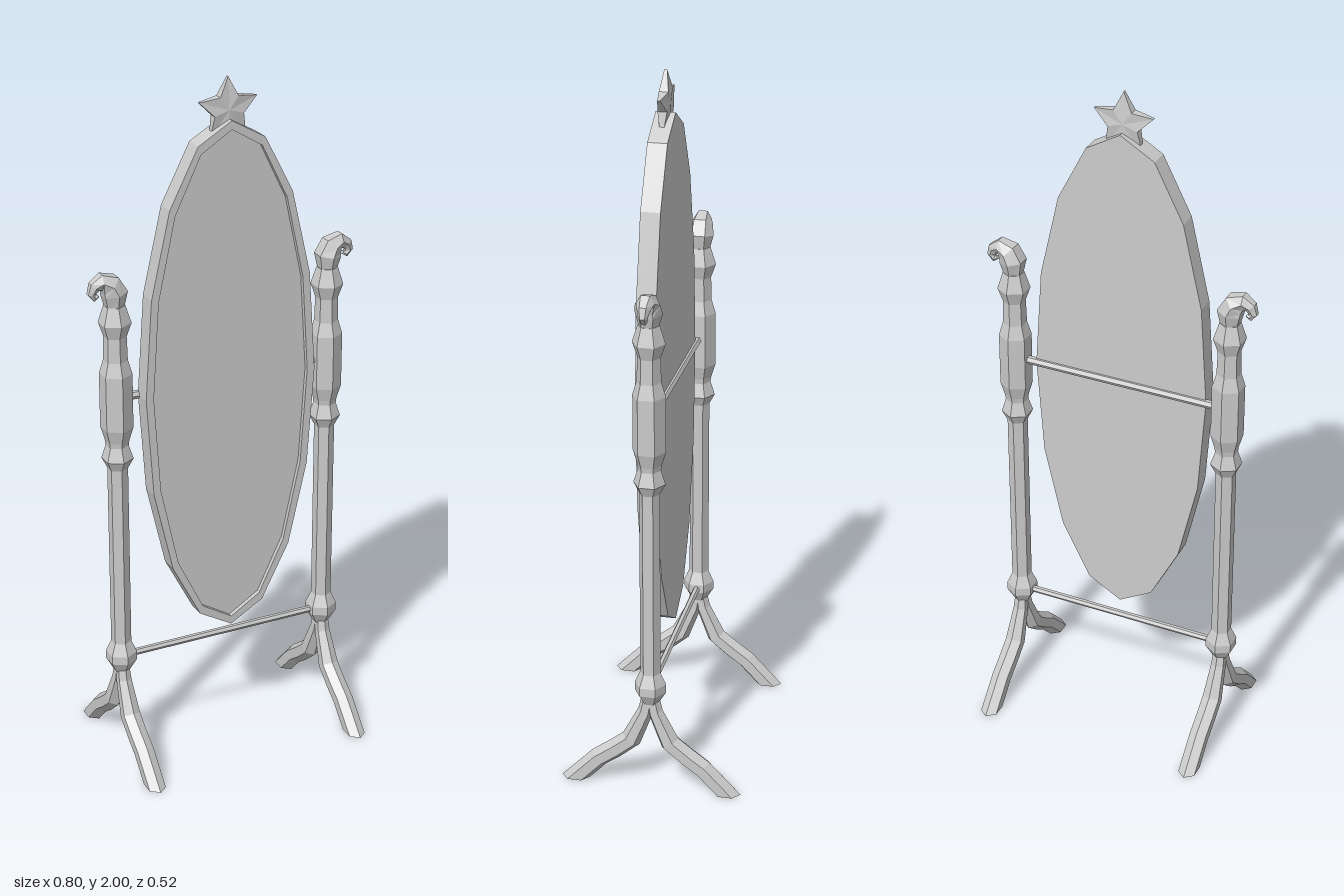
import * as THREE from 'three';

const material = new THREE.MeshStandardMaterial({ color: 0xcccccc, flatShading: true });
const POST_X = 0.325, MIRROR_Y = 1.125;

function addMesh(parent, name, geometry) {
  const mesh = new THREE.Mesh(geometry, material);
  mesh.name = name;
  parent.add(mesh);
  return mesh;
}

function indexed(positions, index) {
  const geometry = new THREE.BufferGeometry();
  geometry.setAttribute('position', new THREE.Float32BufferAttribute(positions, 3));
  geometry.setIndex(index);
  geometry.computeVertexNormals();
  return geometry;
}

// Six-sided tapered sweep along a planar path; corner(tangent) gives the direction of the first corner.
function sweep(points, radii, corner, cutAtFloor = false) {
  const N = 6, pos = [], index = [], last = points.length - 1;
  points.forEach((p, i) => {
    const t = points[Math.min(i + 1, last)].clone().sub(points[Math.max(i - 1, 0)]).normalize();
    const v = corner(t).normalize(), w = t.clone().cross(v);
    for (let j = 0; j < N; j++) {
      const a = (j / N) * Math.PI * 2;
      const q = p.clone().addScaledVector(v, radii[i] * Math.cos(a)).addScaledVector(w, radii[i] * Math.sin(a));
      if (cutAtFloor && i === last) q.addScaledVector(t, -q.y / t.y);
      pos.push(q.x, q.y, q.z);
      if (i < last) {
        const a0 = i * N + j, b0 = i * N + (j + 1) % N;
        index.push(a0, b0, b0 + N, a0, b0 + N, a0 + N);
      }
    }
  });
  // end caps
  for (let j = 1; j < N - 1; j++) {
    index.push(0, j + 1, j, last * N, last * N + j, last * N + j + 1);
  }
  return indexed(pos, index);
}

function ellipsePoints(rx, ry) {
  return Array.from({ length: 16 }, (_, i) => {
    const a = (i / 16) * Math.PI * 2;
    return new THREE.Vector2(rx * Math.cos(a), MIRROR_Y + ry * Math.sin(a));
  });
}

// Five-pointed star, thin at the tips and thicker toward the middle
function starGeometry(radius, inner) {
  const pos = [], index = [], n = 10;
  for (const s of [1, -1]) {
    for (let i = 0; i < n; i++) {
      const a = Math.PI / 2 + (i / n) * Math.PI * 2, tip = i % 2 === 0;
      const r = tip ? radius : inner;
      pos.push(r * Math.cos(a), r * Math.sin(a), s * (tip ? 0.004 : 0.013));
    }
    pos.push(0, 0, s * 0.014);
  }
  for (let i = 0; i < n; i++) {
    const k = (i + 1) % n, b = n + 1;
    index.push(n, i, k, b + n, b + k, b + i);
    index.push(i, b + i, b + k, i, b + k, k);
  }
  return indexed(pos, index);
}

function createStand(side) {
  const stand = new THREE.Group();
  stand.name = side > 0 ? 'leftStand' : 'rightStand';
  stand.position.x = side * POST_X;

  // turned post
  const profile = [
    [0, 0.27], [0.024, 0.27], [0.045, 0.305], [0.045, 0.33], [0.029, 0.365],
    [0.029, 0.915], [0.045, 0.945], [0.032, 0.985], [0.034, 1.0], [0.046, 1.04],
    [0.046, 1.2], [0.034, 1.24], [0.032, 1.31], [0.046, 1.35], [0.03, 1.4], [0, 1.4],
  ].map(([r, y]) => new THREE.Vector2(r, y));
  addMesh(stand, 'post', new THREE.LatheGeometry(profile, 6));

  // scrolled finial curling outward
  const hook = [
    [0, 1.39], [0, 1.435], [0.013, 1.462], [0.038, 1.474], [0.058, 1.462],
    [0.066, 1.443], [0.057, 1.43], [0.047, 1.436],
  ].map(([x, y]) => new THREE.Vector3(side * x, y, 0));
  addMesh(stand, 'finial',
    sweep(hook, [0.026, 0.038, 0.034, 0.025, 0.018, 0.013, 0.01, 0.006], () => new THREE.Vector3(0, 0, 1)));

  // splayed front and back legs
  for (const dir of [1, -1]) {
    const path = [[0.005, 0.29], [0.014, 0.24], [0.056, 0.145], [0.105, 0.105], [0.15, 0.073], [0.22, 0]]
      .map(([z, y]) => new THREE.Vector3(0, y, dir * z));
    addMesh(stand, dir > 0 ? 'frontLeg' : 'backLeg',
      sweep(path, [0.019, 0.022, 0.029, 0.029, 0.029, 0.029],
        (t) => t.clone().cross(new THREE.Vector3(1, 0, 0)), true));
  }
  return stand;
}

export function createModel() {
  const model = new THREE.Group();
  model.name = 'standingMirror';
  model.add(createStand(1), createStand(-1));

  // crossbars between the posts
  for (const [name, y, r] of [['stretcher', 0.315, 0.01], ['pivotBar', MIRROR_Y, 0.012]]) {
    const bar = addMesh(model, name, new THREE.CylinderGeometry(r, r, 2 * POST_X - 0.05, 6));
    bar.rotation.z = Math.PI / 2;
    bar.position.y = y;
  }

  // oval frame with the glass set slightly back
  const mirror = new THREE.Group();
  mirror.name = 'mirror';
  model.add(mirror);
  const rim = new THREE.Shape(ellipsePoints(0.26, 0.76));
  rim.holes.push(new THREE.Path(ellipsePoints(0.237, 0.735)));
  addMesh(mirror, 'frame', new THREE.ExtrudeGeometry(rim, { depth: 0.055, bevelEnabled: false }));
  const glass = new THREE.Shape(ellipsePoints(0.237, 0.735));
  addMesh(mirror, 'glass', new THREE.ExtrudeGeometry(glass, { depth: 0.042, bevelEnabled: false }));

  // star on top of the frame
  const star = addMesh(mirror, 'starCrest', starGeometry(0.09, 0.045));
  star.position.set(0, 1.91, 0.027);
  return model;
}
